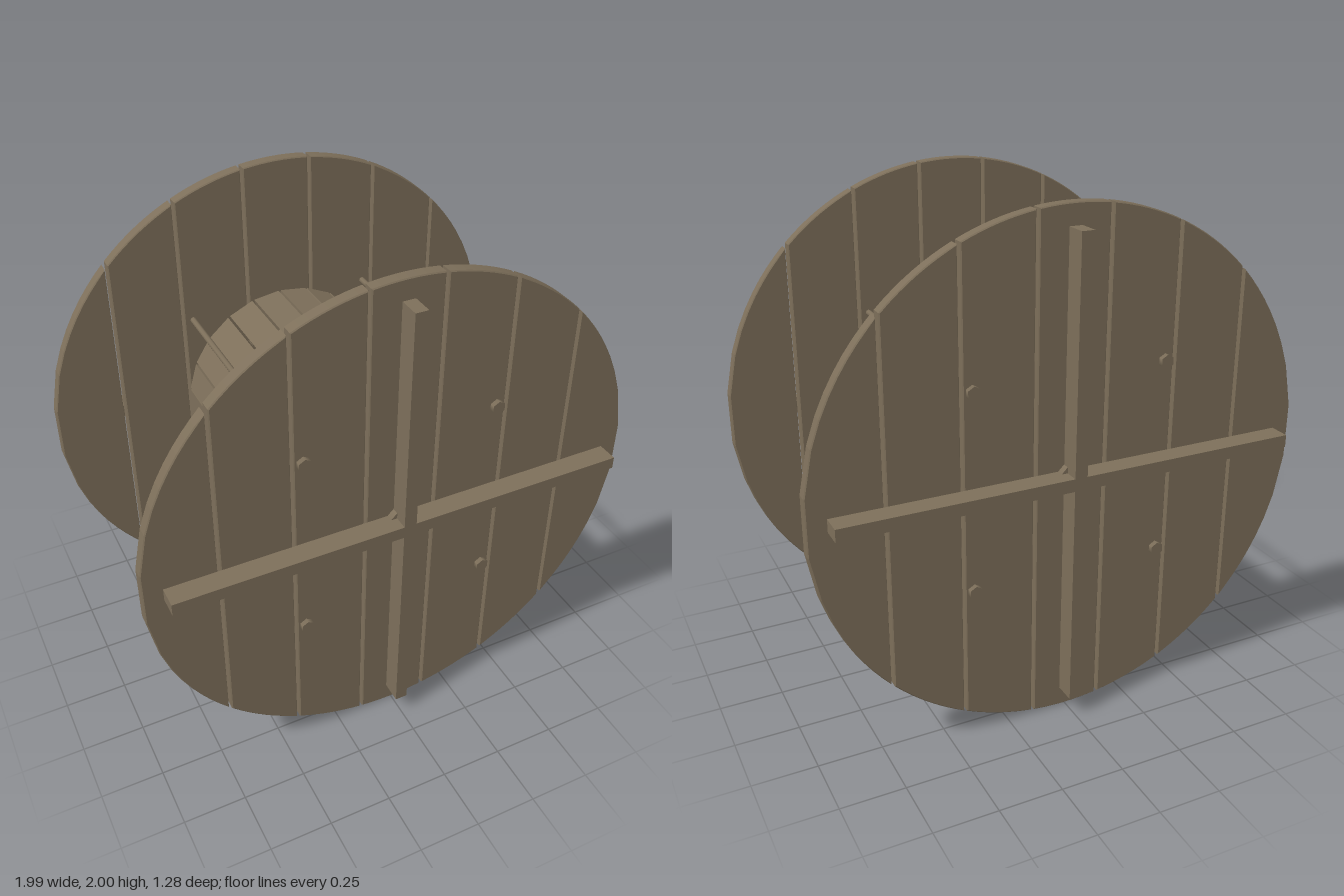
import * as THREE from 'three';

const CY = 1;            // axle height
const Z0 = 0.506;        // inner face of each flange
const THICK = 0.05;      // flange plank thickness
const FACE = Z0 + THICK; // outer face of each flange

export function createModel() {
  const wood = new THREE.MeshStandardMaterial({ color: 0x7d6f5a });
  wood.name = 'weathered wood';

  const model = new THREE.Group();
  model.name = 'cableDrum';

  const add = (parent, name, geo, x = 0, y = 0, z = 0) => {
    const mesh = new THREE.Mesh(geo, wood);
    mesh.name = name;
    mesh.position.set(x, y, z);
    parent.add(mesh);
    return mesh;
  };

  // Cylinder lying along z
  const disc = (radius, length, sides) =>
    new THREE.CylinderGeometry(radius, radius, length, sides).rotateX(Math.PI / 2);

  // One plank: a vertical strip of the unit circle
  const plankGeometry = (xa, xb) => {
    const steps = 8;
    const bottom = [], top = [];
    for (let i = 0; i <= steps; i++) {
      const x = xa + ((xb - xa) * i) / steps;
      const h = Math.sqrt(1 - x * x);
      bottom.push(new THREE.Vector2(x, -h));
      top.unshift(new THREE.Vector2(x, h));
    }
    const bevel = 0.004;
    return new THREE.ExtrudeGeometry(new THREE.Shape([...bottom, ...top]), {
      depth: THICK - 2 * bevel, bevelEnabled: true, bevelSegments: 1,
      bevelSize: bevel, bevelThickness: bevel, bevelOffset: -bevel,
    }).translate(0, 0, bevel);
  };

  // Flange with cross bars, bolt heads and hub, built facing +z
  const makeFlange = (name) => {
    const flange = new THREE.Group();
    flange.name = name;
    const count = 7, pitch = 2 / count, gap = 0.012;
    for (let i = 0; i < count; i++) {
      const xa = -1 + i * pitch + gap / 2;
      add(flange, 'flangePlank', plankGeometry(xa, xa + pitch - gap), 0, 0, Z0);
    }
    const barDepth = 0.085;
    add(flange, 'horizontalBar', new THREE.BoxGeometry(1.84, 0.05, barDepth), 0, 0, FACE + barDepth / 2);
    add(flange, 'verticalBar', new THREE.BoxGeometry(0.05, 1.84, barDepth), 0, 0, FACE + barDepth / 2);
    add(flange, 'hub', disc(0.055, 0.028, 12), 0, 0, FACE + 0.014);
    for (const sx of [-1, 1]) for (const sy of [-1, 1])
      add(flange, 'boltHead', disc(0.028, 0.02, 6), sx * 0.387, sy * 0.387, FACE + 0.01);
    flange.position.y = CY;
    model.add(flange);
    return flange;
  };
  makeFlange('frontFlange');
  makeFlange('backFlange').rotation.y = Math.PI;

  // Hollow core of wedge-shaped staves
  const core = new THREE.Group();
  core.name = 'core';
  core.position.y = CY;
  model.add(core);
  const staves = 22, outer = 0.425, inner = 0.375;
  const half = Math.tan(Math.PI / staves);
  const wo = outer * half - 0.005, wi = inner * half - 0.002;
  const section = new THREE.Shape([
    new THREE.Vector2(inner, -wi), new THREE.Vector2(outer, -wo),
    new THREE.Vector2(outer, wo), new THREE.Vector2(inner, wi),
  ]);
  const staveGeo = new THREE.ExtrudeGeometry(section, { depth: 2 * Z0, bevelEnabled: false })
    .translate(0, 0, -Z0);
  for (let i = 0; i < staves; i++)
    add(core, 'stave', staveGeo).rotation.z = (i * 2 * Math.PI) / staves;

  // Tie rods joining the two flanges outside the core
  for (const sx of [-1, 1]) for (const sy of [-1, 1])
    add(core, 'tieRod', disc(0.0125, 2 * FACE, 8), sx * 0.387, sy * 0.387, 0);

  return model;
}
